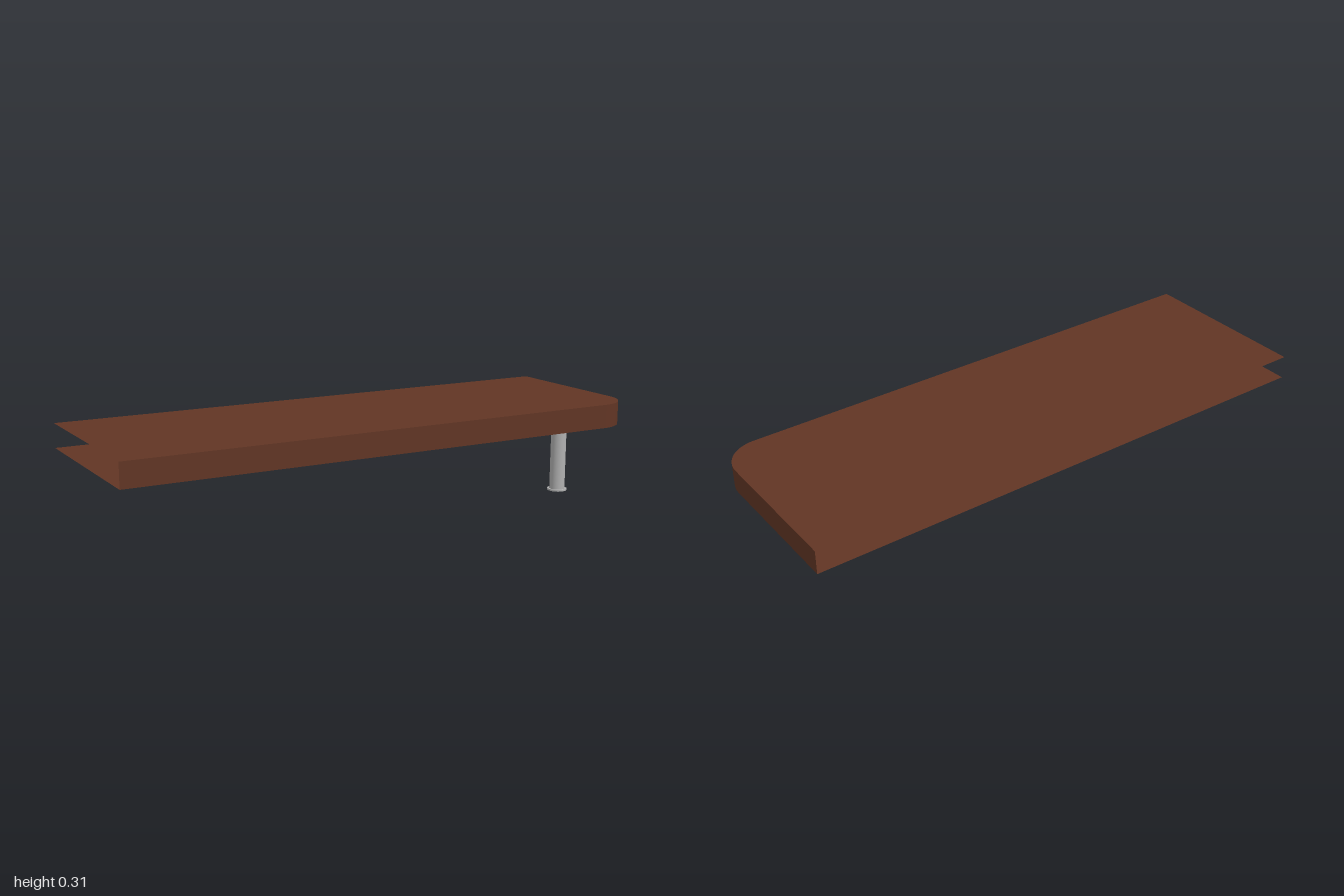
import * as THREE from 'three';

const WIDTH = 0.63, LENGTH = 1.903, RADIUS = 0.125;
const BOTTOM = 0.229, TOP = 0.312;

// Vertical strip standing on an open plan outline, facing outward
function wallGeometry(points) {
  const pos = [], idx = [];
  points.forEach((p, i) => {
    pos.push(p.x, BOTTOM, -p.y, p.x, TOP, -p.y);
    if (i) {
      const b = 2 * (i - 1);
      idx.push(b, b + 1, b + 2, b + 2, b + 1, b + 3);
    }
  });
  const g = new THREE.BufferGeometry();
  g.setAttribute('position', new THREE.Float32BufferAttribute(pos, 3));
  g.setIndex(idx);
  g.computeVertexNormals();
  return g;
}

export function createModel() {
  const wood = new THREE.MeshStandardMaterial({ color: 0x613524, side: THREE.DoubleSide });
  wood.name = 'darkWood';
  const metal = new THREE.MeshStandardMaterial({ color: 0xb0b0b0 });
  metal.name = 'greyMetal';

  const model = new THREE.Group();
  model.name = 'counter';
  const add = (parent, name, geometry, material) => {
    const mesh = new THREE.Mesh(geometry, material);
    mesh.name = name;
    parent.add(mesh);
    return mesh;
  };

  // Worktop, turned about its back corner; one back corner is rounded
  const slab = new THREE.Group();
  slab.name = 'worktop';
  slab.position.set(-0.057, 0, -1);
  slab.rotation.y = -0.252;
  model.add(slab);

  const outline = new THREE.Shape();
  outline.moveTo(0, 0);
  outline.lineTo(WIDTH - RADIUS, 0);
  outline.absarc(WIDTH - RADIUS, -RADIUS, RADIUS, Math.PI / 2, 0, true);
  outline.lineTo(WIDTH, -LENGTH);
  const edge = outline.getPoints(16).filter((p, i, a) => !i || p.distanceTo(a[i - 1]) > 1e-5);
  outline.lineTo(0, -LENGTH);

  const sheet = new THREE.ShapeGeometry(outline, 16).rotateX(-Math.PI / 2);
  add(slab, 'topSheet', sheet, wood).position.y = TOP;
  // Underside faces down
  const under = sheet.clone();
  under.index.array.reverse();
  under.computeVertexNormals();
  add(slab, 'bottomSheet', under, wood).position.y = BOTTOM;
  // Edge band along the back and right only; the other two sides stay open
  add(slab, 'edgeBand', wallGeometry(edge), wood);

  // Support leg with a thin foot flange
  const leg = new THREE.Group();
  leg.name = 'leg';
  leg.position.set(0.395, 0, -0.628);
  model.add(leg);
  add(leg, 'legTube', new THREE.CylinderGeometry(0.027, 0.027, BOTTOM - 0.006, 24), metal)
    .position.y = (BOTTOM + 0.006) / 2;
  add(leg, 'foot', new THREE.CylinderGeometry(0.034, 0.034, 0.006, 24), metal).position.y = 0.003;

  return model;
}
